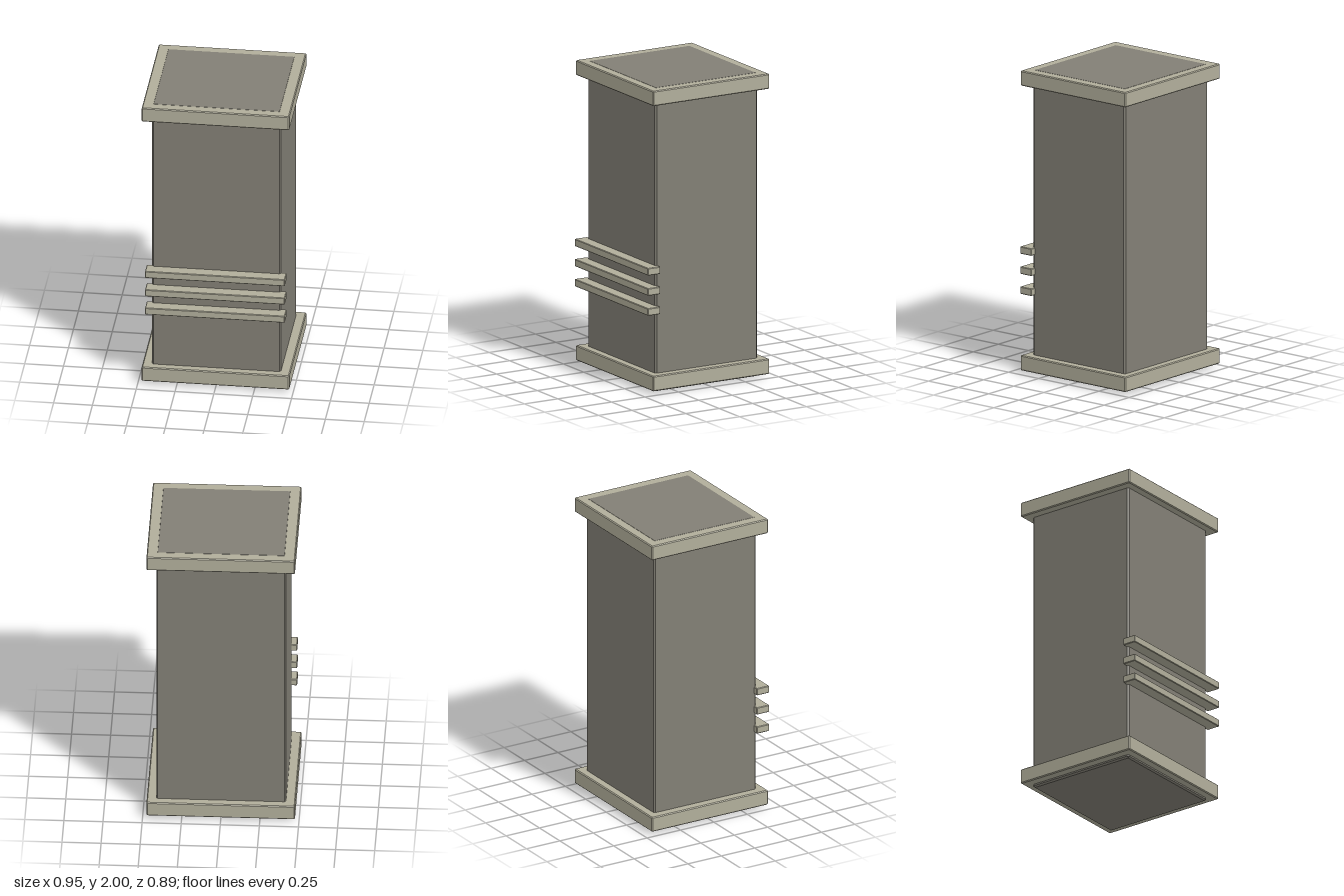
import * as THREE from 'three';
import { ConvexGeometry } from 'three/addons/geometries/ConvexGeometry.js';

// Box between two corners with every edge chamfered by c
function chamferBox(name, min, max, c, material) {
  const half = max.map((v, i) => (v - min[i]) / 2);
  const points = [];
  for (const sx of [-1, 1]) for (const sy of [-1, 1]) for (const sz of [-1, 1]) {
    for (let axis = 0; axis < 3; axis++) {
      const p = half.map((h, i) => (i === axis ? h : h - c));
      points.push(new THREE.Vector3(sx * p[0], sy * p[1], sz * p[2]));
    }
  }
  const mesh = new THREE.Mesh(new ConvexGeometry(points), material);
  mesh.name = name;
  mesh.position.set(...max.map((v, i) => (v + min[i]) / 2));
  return mesh;
}

export function createModel() {
  const group = new THREE.Group();
  group.name = 'pillar';
  const darkStone = new THREE.MeshStandardMaterial({ color: 0x827f75 });
  darkStone.name = 'dark stone';
  const paleStone = new THREE.MeshStandardMaterial({ color: 0xb1ae9b });
  paleStone.name = 'pale stone';

  // Shaft runs the full height and shows inside the cap's rim
  group.add(chamferBox('shaft', [-0.415, 0, -0.395], [0.415, 2, 0.37], 0.01, darkStone));

  // Base and cap collars; the cap sits a hair below the shaft's top
  group.add(chamferBox('base', [-0.475, 0.02, -0.448], [0.475, 0.12, 0.423], 0.006, paleStone));
  group.add(chamferBox('cap', [-0.475, 1.9, -0.448], [0.475, 1.999, 0.423], 0.006, paleStone));

  // Three slats across the front
  for (const y of [0.54, 0.672, 0.805]) {
    group.add(chamferBox('frontSlat', [-0.45, y - 0.024, 0.353], [0.45, y + 0.024, 0.447], 0.004, paleStone));
  }
  return group;
}
